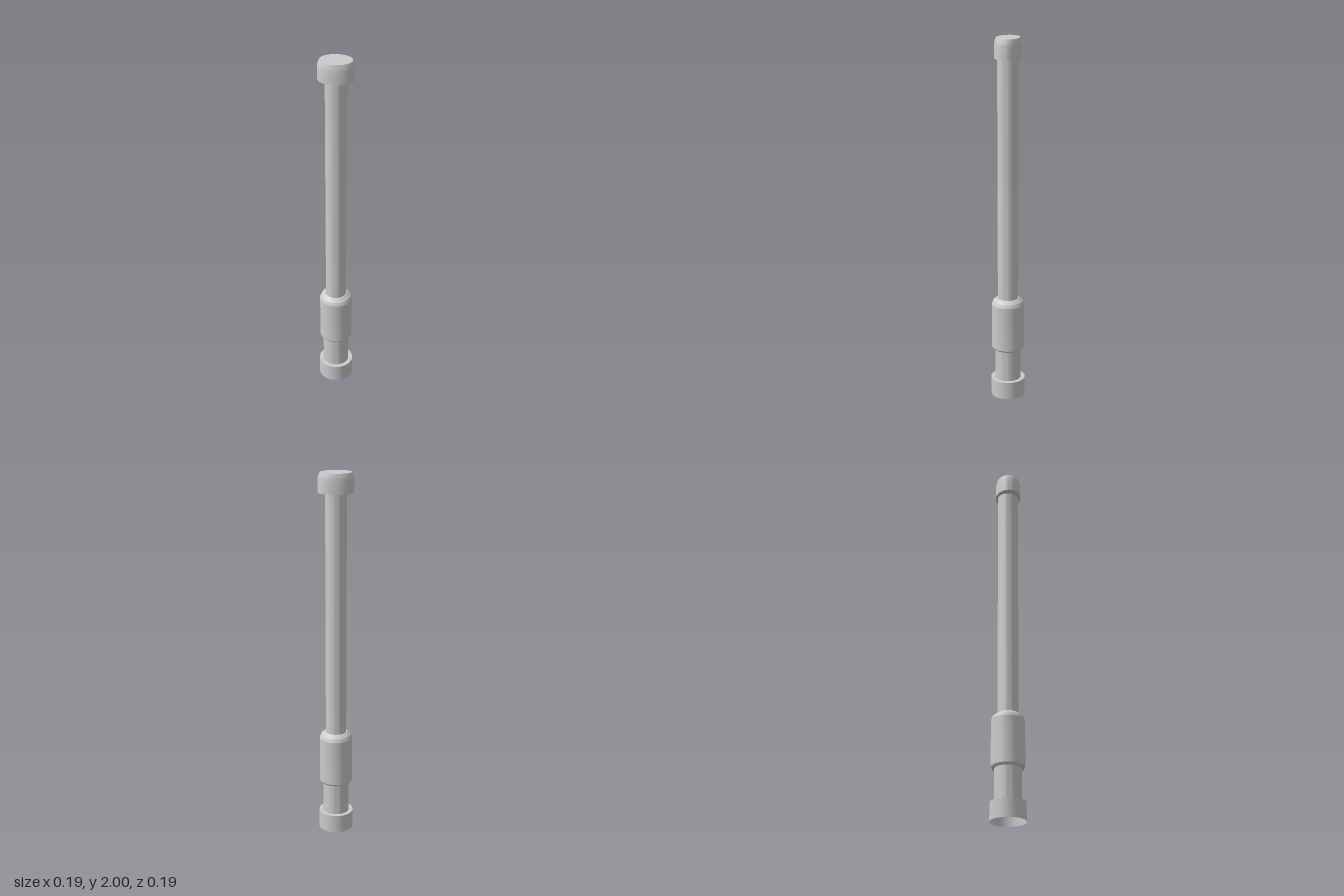
import * as THREE from 'three';
import { toCreasedNormals } from 'three/addons/utils/BufferGeometryUtils.js';

const SEGMENTS = 48;

export function createModel() {
  const group = new THREE.Group();
  const material = new THREE.MeshStandardMaterial({ color: 0xcccccc, side: THREE.DoubleSide });

  // Turned part from [radius, height] pairs, listed bottom to top
  function turned(name, profile, depthScale = 1) {
    const points = profile.map(([r, y]) => new THREE.Vector2(r, y));
    const lathe = new THREE.LatheGeometry(points, SEGMENTS);
    lathe.scale(1, 1, depthScale);
    const mesh = new THREE.Mesh(toCreasedNormals(lathe, 0.4), material);
    mesh.name = name;
    group.add(mesh);
  }

  // Hollow foot, open underneath, with a flat ledge up to the neck
  turned('foot', [[0.094, 0], [0.094, 0.1], [0.071, 0.1]]);
  turned('neck', [[0.071, 0.1], [0.071, 0.28]]);

  // Sleeve with a small lower bevel and a chamfered shoulder
  turned('collar', [
    [0.071, 0.278], [0.083, 0.278], [0.089, 0.287],
    [0.089, 0.54], [0.081, 0.558], [0.06, 0.575], [0.056, 0.575],
  ]);

  turned('shaft', [[0.056, 0.575], [0.056, 1.897]]);

  // Oval end cap with a bevelled top edge
  turned('endCap', [
    [0, 1.895], [0.094, 1.895], [0.094, 1.968], [0.091, 1.982], [0.084, 2], [0, 2],
  ], 0.74);

  return group;
}
